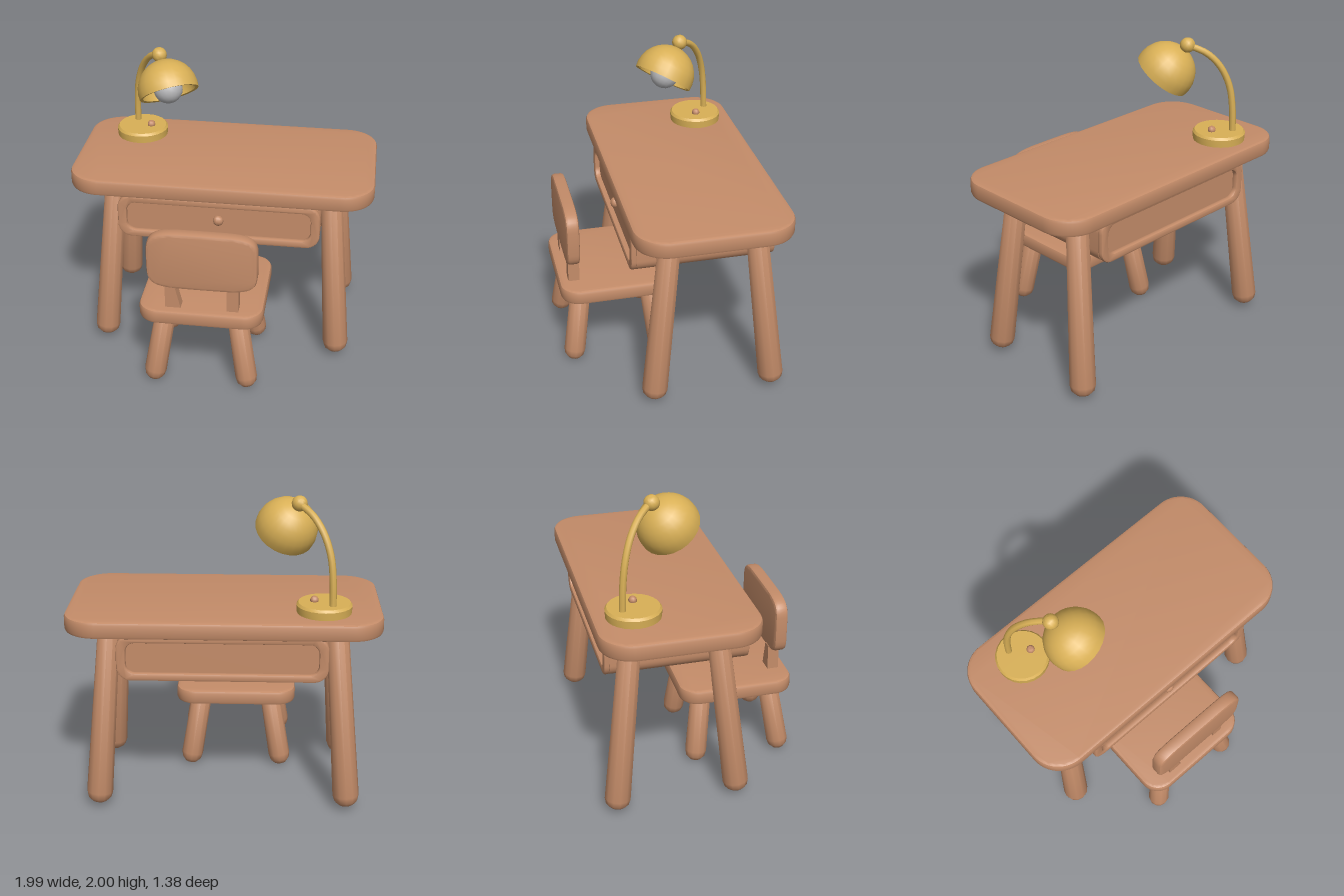
import * as THREE from 'three';
import { toCreasedNormals } from 'three/addons/utils/BufferGeometryUtils.js';

const mat = (name, color) => {
  const m = new THREE.MeshStandardMaterial({ color });
  m.name = name;
  return m;
};

export function createModel() {
  const wood = mat('wood', 0xc48c69);
  const brass = mat('brass', 0xd9b056);
  const glass = mat('bulb glass', 0xb8b8ba);

  const V = (x, y, z) => new THREE.Vector3(x, y, z);
  const UP = V(0, 1, 0);

  function add(parent, name, geometry, material, crease = 0.6) {
    const mesh = new THREE.Mesh(toCreasedNormals(geometry, crease), material);
    mesh.name = name;
    parent.add(mesh);
    return mesh;
  }

  function group(parent, name) {
    const g = new THREE.Group();
    g.name = name;
    parent.add(g);
    return g;
  }

  // Rounded rectangle centred on (0, 0), drawn on a Shape or a Path
  function roundRect(target, w, h, r) {
    const x = w / 2, y = h / 2, q = Math.PI / 2;
    target.moveTo(x, r - y);
    target.absarc(x - r, y - r, r, 0, q);
    target.absarc(r - x, y - r, r, q, 2 * q);
    target.absarc(r - x, r - y, r, 2 * q, 3 * q);
    target.absarc(x - r, r - y, r, 3 * q, 4 * q);
    return target;
  }

  // Extrusion with soft edges whose outer size is kept; it spans z = 0..depth
  function slab(shape, depth, bevel) {
    return new THREE.ExtrudeGeometry(shape, {
      depth: depth - 2 * bevel, bevelEnabled: true, bevelThickness: bevel,
      bevelSize: bevel, bevelOffset: -bevel, bevelSegments: 2, curveSegments: 6,
    }).translate(0, 0, bevel);
  }

  const flatSlab = (w, d, r, height, bevel) =>
    slab(roundRect(new THREE.Shape(), w, d, r), height, bevel).rotateX(-Math.PI / 2);

  // Tapered leg with a rounded foot, from its foot to its top
  function leg(parent, name, foot, top, rFoot, rTop) {
    const axis = top.clone().sub(foot);
    const len = axis.length();
    const profile = [
      [0, 0], [rFoot * 0.55, 0.008], [rFoot * 0.88, 0.035], [rFoot, 0.075],
      [rTop, len - 0.015], [rTop - 0.015, len], [0, len],
    ].map(([x, y]) => new THREE.Vector2(x, y));
    const m = add(parent, name, new THREE.LatheGeometry(profile, 12), wood, 0.8);
    m.position.copy(foot);
    m.quaternion.setFromUnitVectors(UP, axis.normalize());
  }

  const model = new THREE.Group();
  model.name = 'deskWithChairAndLamp';

  // ---- Desk ----
  const desk = group(model, 'desk');
  add(desk, 'deskTop', flatSlab(1.99, 1.01, 0.21, 0.11, 0.02), wood)
    .position.set(-0.003, 1.19, -0.185);
  for (const s of [-1, 1]) {
    leg(desk, 'deskFrontLeg', V(s * 0.803, 0.03, 0.19), V(s * 0.715, 1.2, 0.065), 0.085, 0.07);
    leg(desk, 'deskBackLeg', V(s * 0.803, 0.03, -0.605), V(s * 0.715, 1.2, -0.475), 0.085, 0.07);
  }

  // Drawer box with a recessed panel at the front and the back
  const drawer = group(desk, 'drawer');
  drawer.position.set(0, 1.045, 0);
  add(drawer, 'drawerBox',
    new THREE.ExtrudeGeometry(roundRect(new THREE.Shape(), 1.32, 0.3, 0.09),
      { depth: 0.86, bevelEnabled: false, curveSegments: 6 }), wood).position.z = -0.595;
  for (const z of [0.26, -0.63]) {
    const rim = roundRect(new THREE.Shape(), 1.32, 0.3, 0.09);
    rim.holes.push(roundRect(new THREE.Path(), 1.2, 0.2, 0.06));
    add(drawer, 'drawerRim', slab(rim, 0.04, 0.012), wood).position.z = z;
  }
  const knob = add(drawer, 'drawerKnob', new THREE.SphereGeometry(0.035, 10, 8), wood, 1);
  knob.scale.z = 0.8;
  knob.position.z = 0.275;

  // ---- Chair ----
  const chair = group(model, 'chair');
  chair.position.x = -0.07;
  add(chair, 'seat', flatSlab(0.81, 0.77, 0.13, 0.098, 0.02), wood).position.set(0, 0.488, 0.305);
  for (const s of [-1, 1]) {
    leg(chair, 'chairLegByBackrest', V(s * 0.315, 0.002, 0.625), V(s * 0.235, 0.5, 0.55), 0.073, 0.068);
    leg(chair, 'chairLegUnderDesk', V(s * 0.315, 0.002, 0.025), V(s * 0.235, 0.5, 0.085), 0.073, 0.068);
  }

  // Backrest with gently bulging edges
  const outline = [];
  for (let i = 0; i < 48; i++) {
    const a = (i / 48) * Math.PI * 2, c = Math.cos(a), s = Math.sin(a);
    outline.push(new THREE.Vector2(
      0.355 * Math.sign(c) * Math.abs(c) ** 0.42, 0.203 * Math.sign(s) * Math.abs(s) ** 0.42));
  }
  add(chair, 'backrest', slab(new THREE.Shape(outline), 0.085, 0.02), wood)
    .position.set(0.015, 0.937, 0.56);

  // Posts joining the seat and the backrest; one of them flares at its foot
  const posts = [
    [[-0.225, 0.57], [-0.12, 0.57], [-0.165, 0.76], [-0.225, 0.76]],
    [[0.175, 0.57], [0.25, 0.57], [0.25, 0.76], [0.175, 0.76]],
  ];
  for (const p of posts) {
    const shape = new THREE.Shape(p.map(([x, y]) => new THREE.Vector2(x, y)));
    add(chair, 'backrestPost',
      new THREE.ExtrudeGeometry(shape, { depth: 0.075, bevelEnabled: false }), wood)
      .position.z = 0.555;
  }

  // ---- Lamp ----
  const lamp = group(model, 'lamp');
  const base = [[0, 0], [0.172, 0], [0.175, 0.05], [0.163, 0.066], [0, 0.066]];
  add(lamp, 'lampBase',
    new THREE.LatheGeometry(base.map(([x, y]) => new THREE.Vector2(x, y)), 24), brass)
    .position.set(-0.63, 1.299, -0.435);
  add(lamp, 'lampButton', new THREE.SphereGeometry(0.027, 10, 8), wood, 1)
    .position.set(-0.567, 1.373, -0.425);

  const arm = new THREE.CatmullRomCurve3([
    V(-0.678, 1.35, -0.512), V(-0.674, 1.52, -0.505), V(-0.658, 1.67, -0.485),
    V(-0.615, 1.8, -0.442), V(-0.55, 1.895, -0.375), V(-0.465, 1.95, -0.285),
  ]);
  add(lamp, 'lampArm', new THREE.TubeGeometry(arm, 20, 0.022, 8), brass, 1);

  // Tilted head: y runs from the shade's opening to its crown
  const head = group(lamp, 'lampHead');
  head.position.set(-0.38, 1.735, -0.14);
  head.quaternion.setFromUnitVectors(UP, V(-0.095, 0.235, -0.15).normalize());
  const dome = [];
  for (const [r, dir] of [[0.178, -1], [0.2, 1]]) {
    const arc = [];
    for (let i = 0; i <= 8; i++) {
      const a = -0.15 + (i / 8) * (Math.PI / 2 + 0.15);
      arc.push(new THREE.Vector2(Math.max(0, r * Math.cos(a)), 0.03 + r * Math.sin(a)));
    }
    dome.push(...(dir < 0 ? arc.reverse() : arc));
  }
  add(head, 'lampShade', new THREE.LatheGeometry(dome, 24), brass);
  add(head, 'shadeKnob', new THREE.SphereGeometry(0.05, 14, 10), brass, 1).position.y = 0.268;
  add(head, 'bulb', new THREE.SphereGeometry(0.097, 16, 12), glass, 1).position.y = 0.035;
  add(head, 'bulbSocket', new THREE.CylinderGeometry(0.045, 0.055, 0.12, 12), brass)
    .position.y = 0.155;

  return model;
}
